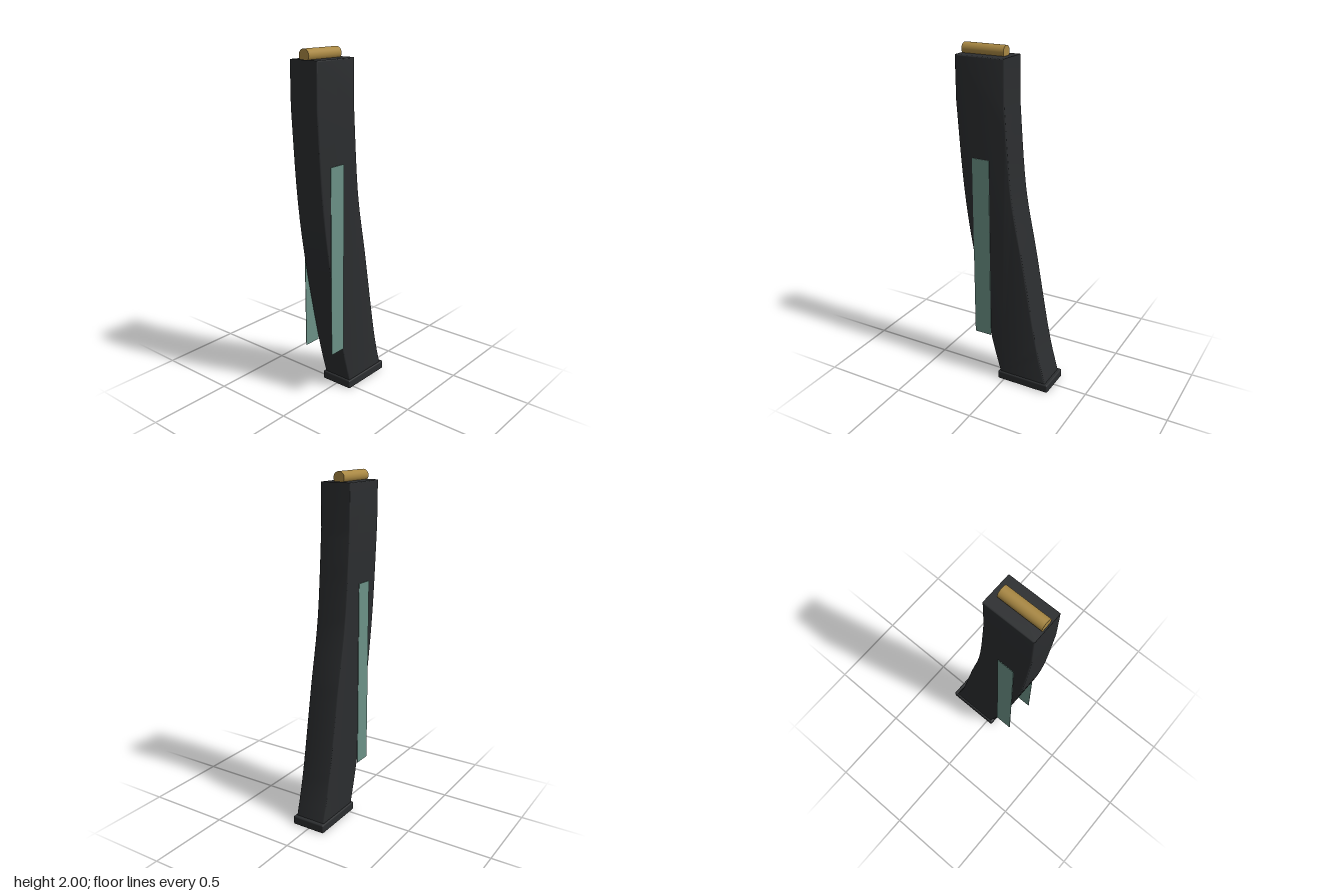
import * as THREE from 'three';
import { toCreasedNormals } from 'three/addons/utils/BufferGeometryUtils.js';
import { RoundedBoxGeometry } from 'three/addons/geometries/RoundedBoxGeometry.js';

const material = (color) => new THREE.MeshStandardMaterial({ color });

export function createModel() {
  const model = new THREE.Group();
  const black = material(0x2b2d2f);
  const brass = material(0xa98843);
  const green = material(0x6b9186);

  const add = (name, geometry, mat, x, y, z) => {
    const mesh = new THREE.Mesh(geometry, mat);
    mesh.name = name;
    mesh.position.set(x, y, z);
    model.add(mesh);
    return mesh;
  };

  // Curved body: side profile (z, y) extruded across x with softened edges
  const edge = (points) => new THREE.SplineCurve(points.map(([z, y]) => new THREE.Vector2(z, y))).getPoints(24);
  const front = edge([[0.024, 0.04], [0.093, 0.3], [0.199, 0.81], [0.257, 1.21], [0.293, 1.7]]);
  const back = edge([[-0.006, 1.7], [-0.045, 1.21], [-0.119, 0.81], [-0.211, 0.3], [-0.277, 0.04]]);
  const profile = new THREE.Shape([
    ...front,
    new THREE.Vector2(0.293, 1.945),
    new THREE.Vector2(-0.006, 1.945),
    ...back,
  ]);
  const bevel = 0.007;
  const width = 0.187;
  const bodyGeometry = new THREE.ExtrudeGeometry(profile, {
    depth: width - 2 * bevel,
    bevelEnabled: true,
    bevelThickness: bevel,
    bevelSize: bevel,
    bevelOffset: -bevel,
    bevelSegments: 3,
  });
  bodyGeometry.translate(0, 0, bevel - width / 2);
  bodyGeometry.rotateY(-Math.PI / 2);
  add('body', toCreasedNormals(bodyGeometry, 0.6), black, 0, 0, 0);

  // Base plate
  add('basePlate', new RoundedBoxGeometry(0.207, 0.052, 0.334, 3, 0.008), black, 0, 0.026, -0.128);

  // Round lying across the open top
  const round = add('cartridge', new THREE.CylinderGeometry(0.034, 0.034, 0.255, 32), brass, 0, 1.966, 0.158);
  round.rotation.x = Math.PI / 2;

  // Thin side strips
  for (const [name, side] of [['leftStrip', 1], ['rightStrip', -1]]) {
    add(name, new THREE.BoxGeometry(0.003, 1.1, 0.106), green, side * 0.0975, 0.84, 0.142);
  }

  return model;
}
